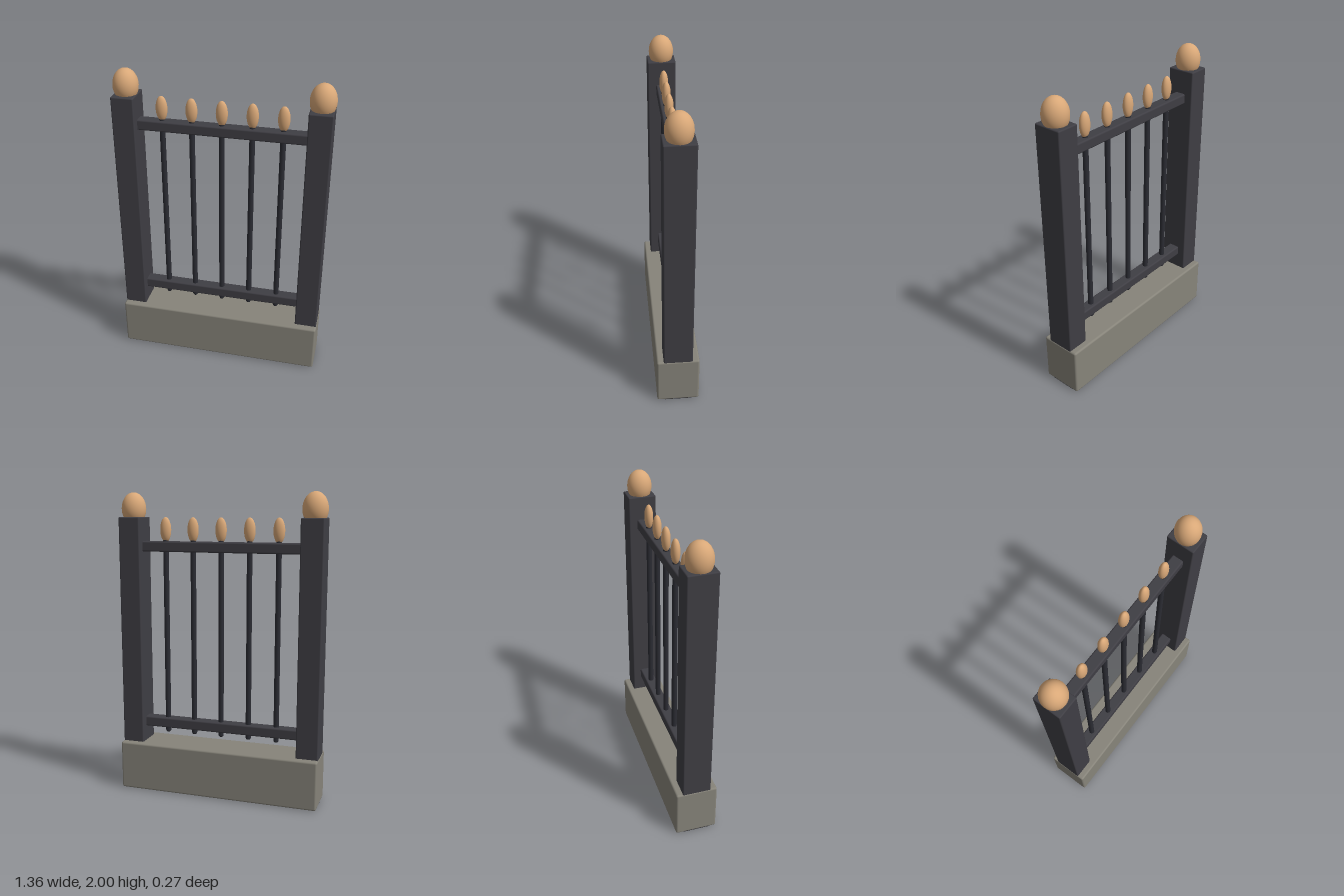
import * as THREE from 'three';
import { RoundedBoxGeometry } from 'three/addons/geometries/RoundedBoxGeometry.js';

const material = (name, color) => {
  const m = new THREE.MeshStandardMaterial({ color });
  m.name = name;
  return m;
};

export function createModel() {
  const group = new THREE.Group();
  const iron = material('dark iron', 0x3f3e44);
  const barIron = material('bar iron', 0x2b2c33);
  const stone = material('stone', 0x87847a);
  const wood = material('warm wood', 0xd9a878);

  const add = (name, geometry, mat, x, y, z = 0) => {
    const mesh = new THREE.Mesh(geometry, mat);
    mesh.name = name;
    mesh.position.set(x, y, z);
    group.add(mesh);
    return mesh;
  };
  // Box with softened edges, placed by its bottom and top heights
  const block = (name, mat, x, width, bottom, top, depth, bevel) =>
    add(name, new RoundedBoxGeometry(width, top - bottom, depth, 2, bevel), mat, x, (bottom + top) / 2);
  const egg = (name, x, y, rx, ry, rz) =>
    add(name, new THREE.SphereGeometry(1, 28, 18), wood, x, y).scale.set(rx, ry, rz);

  // Stone plinth
  block('plinth', stone, 0, 1.35, 0.004, 0.33, 0.27, 0.013);

  // Corner posts with ball caps
  for (const side of [-1, 1]) {
    block('post', iron, side * 0.6, 0.144, 0, 1.842, 0.184, 0.008);
    egg('postCap', side * 0.6, 1.895, 0.08, 0.105, 0.08);
  }

  // Horizontal rails
  block('lowerRail', iron, 0, 1.1, 0.43, 0.498, 0.076, 0.01);
  block('upperRail', iron, 0, 1.1, 1.62, 1.687, 0.076, 0.01);

  // Upright bars with rounded ends and oval finials
  const barProfile = [[0, 0.395], [0.012, 0.395], [0.018, 0.405], [0.018, 1.69], [0.012, 1.71], [0, 1.71]]
    .map(([r, y]) => new THREE.Vector2(r, y));
  for (let i = -2; i <= 2; i++) {
    const x = i * 0.189;
    add('bar', new THREE.LatheGeometry(barProfile, 12), barIron, x, 0);
    egg('finial', x, 1.762, 0.037, 0.08, 0.028);
  }
  return group;
}
